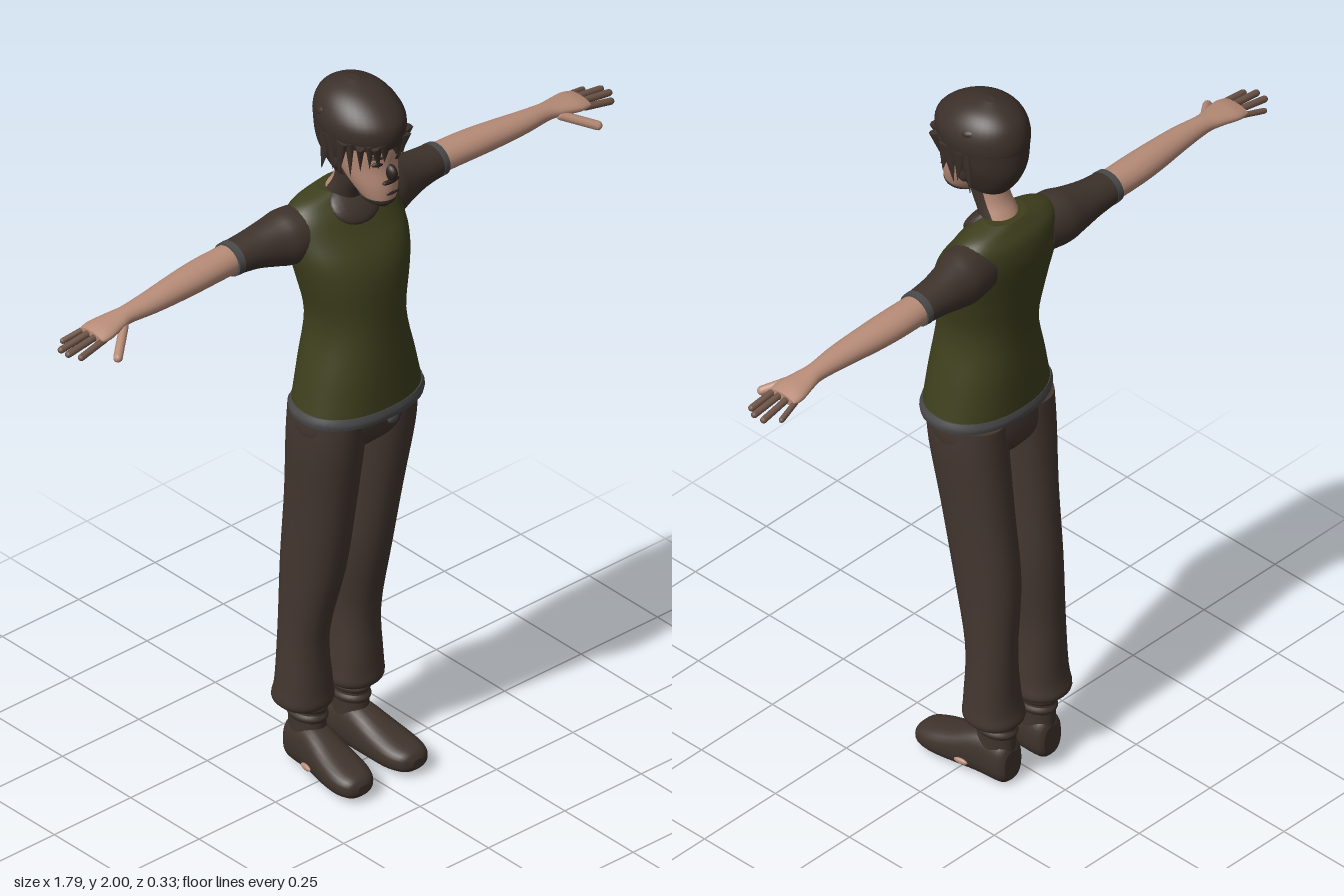
import * as THREE from 'three';

const mat = (name, color, side = THREE.FrontSide) => {
  const m = new THREE.MeshStandardMaterial({ color, side });
  m.name = name;
  return m;
};

// Smoothly refine a list of cross-section rows
function refine(rows, steps) {
  const out = [], last = rows.length - 1;
  for (let i = 0; i < last; i++) {
    const p0 = rows[Math.max(i - 1, 0)], p1 = rows[i], p2 = rows[i + 1], p3 = rows[Math.min(i + 2, last)];
    for (let k = 0; k < steps; k++) {
      const t = k / steps;
      out.push(p1.map((b, n) => {
        const a = p0[n], c = p2[n], d = p3[n];
        return b + 0.5 * t * (c - a + t * (2 * a - 5 * b + 4 * c - d + t * (3 * (b - c) + d - a)));
      }));
    }
  }
  out.push(rows[last]);
  return out;
}

// Skin rounded sections [t, c1, c2, r1, r2] strung along an axis; side = -1 mirrors in x
function loft(axis, rows, { side = 1, power = 2, from = 0, to = Math.PI * 2, seg = 28, steps = 4 } = {}) {
  const closed = to - from > 6.28, cols = closed ? seg : seg + 1;
  const rings = refine(rows, steps), pos = [], index = [];
  const put = {
    x: (t, p, q) => [t * side, p, q],
    y: (t, p, q) => [p, t, q],
    z: (t, p, q) => [p, q, t],
  }[axis];
  const flip = (axis !== 'y') !== (axis === 'x' && side < 0);
  const tri = (a, b, c) => (flip ? index.push(a, c, b) : index.push(a, b, c));
  const round = (v) => Math.sign(v) * Math.abs(v) ** (2 / power);
  const addRing = ([t, c1, c2, r1, r2]) => {
    const c = axis === 'x' ? c1 : c1 * side;
    for (let j = 0; j < cols; j++) {
      const a = from + ((to - from) * j) / seg;
      pos.push(...put(t, c + r1 * round(Math.sin(a)), c2 + r2 * round(Math.cos(a))));
    }
    return put(t, c, c2);
  };
  rings.forEach(addRing);
  for (let i = 0; i < rings.length - 1; i++) {
    for (let j = 0; j < seg; j++) {
      const k = (j + 1) % cols, a = i * cols, d = a + cols;
      tri(a + j, a + k, d + k);
      tri(a + j, d + k, d + j);
    }
  }
  if (closed) {
    [rings[0], rings[rings.length - 1]].forEach((r, end) => {
      const start = pos.length / 3;
      pos.push(...addRing(r));
      for (let j = 0; j < seg; j++) {
        const a = start + j, b = start + ((j + 1) % seg);
        end ? tri(start + seg, a, b) : tri(start + seg, b, a);
      }
    });
  }
  const g = new THREE.BufferGeometry();
  g.setAttribute('position', new THREE.Float32BufferAttribute(pos, 3));
  g.setIndex(index);
  g.computeVertexNormals();
  return g;
}

export function createModel() {
  const model = new THREE.Group();
  model.name = 'standingFigure';
  const skin = mat('skin', 0xb98d79, THREE.DoubleSide);
  const green = mat('shirtGreen', 0x3e3f1d);
  const brown = mat('trouserBrown', 0x43362f);
  const sleeveBrown = mat('sleeveBrown', 0x3f332c, THREE.DoubleSide);
  const trim = mat('trimGrey', 0x4b4a4b);
  const hairMat = mat('hairBrown', 0x3c302a, THREE.DoubleSide);
  const shoeMat = mat('shoeBrown', 0x40342d);
  const fingerMat = mat('fingerBrown', 0x6f5548);
  const dark = mat('faceDark', 0x2b211d);

  const add = (name, geo, material, parent = model) => {
    const m = new THREE.Mesh(geo, material);
    m.name = name;
    parent.add(m);
    return m;
  };
  const blob = (name, material, p, s, r = [0, 0, 0]) => {
    const m = add(name, new THREE.SphereGeometry(1, 20, 14), material);
    m.position.set(...p);
    m.scale.set(...s);
    m.rotation.set(...r);
    return m;
  };

  // Shirt body, hem and bib collar
  add('shirtBody', loft('y', [
    [1.09, 0, .017, .178, .125], [1.2, 0, .015, .152, .123], [1.33, 0, .012, .123, .117],
    [1.45, 0, .002, .147, .12], [1.52, 0, -.012, .163, .115], [1.58, 0, -.034, .167, .097],
    [1.63, 0, -.046, .158, .076], [1.658, 0, -.05, .125, .052], [1.675, 0, -.048, .06, .04],
  ], { power: 2.25, seg: 40 }), green);
  add('shirtHem', loft('y', [[1.078, 0, .017, .181, .128], [1.092, 0, .017, .183, .13], [1.108, 0, .017, .177, .126]],
    { power: 2.25, seg: 40 }), trim);
  blob('collar', sleeveBrown, [0, 1.643, .012], [.074, .058, .022], [-.78, 0, 0]);

  // Neck: covered in front, bare at the nape
  const neck = [[1.6, 0, -.05, .06, .055], [1.67, 0, -.025, .05, .05], [1.72, 0, .002, .047, .047], [1.8, 0, .025, .05, .055]];
  add('neckFront', loft('y', neck, { from: -.65 * Math.PI, to: .65 * Math.PI }), sleeveBrown);
  add('neckNape', loft('y', neck, { from: .65 * Math.PI, to: 1.35 * Math.PI, seg: 14 }), skin);

  // Head and face
  add('head', loft('y', [
    [1.69, 0, .112, .018, .022], [1.705, 0, .1, .038, .044], [1.75, 0, .074, .057, .073],
    [1.8, 0, .05, .069, .09], [1.85, 0, .042, .077, .1], [1.9, 0, .035, .08, .1], [1.94, 0, .03, .05, .07],
  ]), skin);
  add('jawShadow', loft('y', [[1.686, 0, .11, .016, .02], [1.7, 0, .1, .037, .043], [1.712, 0, .094, .045, .052]]), sleeveBrown);
  blob('nose', dark, [0, 1.79, .143], [.013, .022, .021], [-.35, 0, 0]);
  blob('moustache', dark, [0, 1.765, .143], [.027, .007, .008]);
  blob('mouth', dark, [0, 1.735, .151], [.022, .003, .004]);
  for (const s of [1, -1]) {
    blob('eye', dark, [s * .031, 1.818, .129], [.016, .007, .006], [0, s * .3, 0]);
    blob('eyebrow', hairMat, [s * .032, 1.838, .131], [.021, .005, .006], [0, s * .3, s * .12]);
    blob('ear', hairMat, [s * .073, 1.805, .025], [.012, .028, .019]);
  }

  // Hair: crown, back drape, fringe and side locks
  add('hairCrown', loft('y', [
    [1.862, 0, .03, .09, .122], [1.89, 0, .029, .1, .131], [1.925, 0, .027, .099, .128],
    [1.96, 0, .017, .083, .103], [1.985, 0, .01, .055, .064], [2, 0, .005, .012, .016],
  ], { seg: 36 }), hairMat);
  add('hairBack', loft('y', [
    [1.745, 0, .01, .05, .062], [1.78, 0, .012, .068, .09], [1.83, 0, .02, .088, .118], [1.89, 0, .029, .1, .131],
  ], { from: .42 * Math.PI, to: 1.58 * Math.PI }), hairMat);
  const locks = [[.22, .055], [.42, .075], [.62, .07], [.85, .085], [1.1, .1], [1.35, .115], [1.6, .1], [1.85, .12]];
  for (const s of [1, -1]) {
    locks.forEach(([a, h], i) => {
      const lock = add('hairLock', new THREE.ConeGeometry(.024, h, 8), hairMat);
      lock.position.set(s * .089 * Math.sin(a), 1.882 - h / 2, .028 + .118 * Math.cos(a));
      lock.rotation.set(Math.PI, -s * a, s * (i % 2 ? .15 : -.1), 'YXZ');
      lock.scale.z = .5;
    });
  }
  for (let i = 0; i < 9; i++) {
    const a = i * 2.4, r = .35 + .06 * i;
    blob('hairTuft', hairMat, [.088 * r * Math.sin(a), 1.975 - .075 * r * r, .018 + .105 * r * Math.cos(a)],
      [.03, .018, .036], [.5 * r * Math.cos(a), a * .3, -.6 * r * Math.sin(a)]);
  }

  // Trouser seat and drawstring knot
  add('trouserSeat', loft('y', [[.965, 0, -.008, .09, .07], [1, 0, -.003, .15, .1], [1.04, 0, .003, .166, .113], [1.1, 0, .008, .165, .114]],
    { power: 2.3 }), brown);
  blob('drawstringKnot', trim, [.03, 1.052, .117], [.018, .015, .009]);

  for (const side of [1, -1]) {
    const tag = side > 0 ? 'left' : 'right';
    // Sleeve with cuff
    add(tag + 'Sleeve', loft('x', [
      [.1, 1.578, -.05, .07, .068], [.165, 1.577, -.058, .074, .069], [.21, 1.577, -.064, .064, .06],
      [.27, 1.579, -.069, .05, .051], [.335, 1.58, -.071, .042, .047],
    ], { side }), sleeveBrown);
    add(tag + 'Cuff', loft('x', [[.326, 1.58, -.071, .044, .049], [.344, 1.58, -.071, .043, .048]], { side, steps: 1 }), trim);

    // Arm and palm
    add(tag + 'Arm', loft('x', [
      [.33, 1.58, -.072, .038, .042], [.42, 1.579, -.07, .036, .044], [.5, 1.577, -.066, .034, .041],
      [.6, 1.575, -.06, .028, .034], [.68, 1.573, -.06, .022, .027], [.72, 1.571, -.06, .019, .034],
      [.77, 1.565, -.06, .018, .045], [.8, 1.561, -.06, .013, .042],
    ], { side, seg: 20 }), skin);

    // Fingers and thumb: base point, tip point, radius
    const digits = [
      [[.785, 1.561, -.095], [.85, 1.545, -.107], .0075], [[.79, 1.562, -.073], [.882, 1.547, -.077], .009],
      [[.79, 1.562, -.049], [.884, 1.549, -.048], .009], [[.785, 1.56, -.026], [.866, 1.545, -.021], .009],
      [[.715, 1.562, -.035], [.785, 1.53, .022], .012],
    ];
    digits.forEach(([p, q, r], i) => {
      const a = new THREE.Vector3(p[0] * side, p[1], p[2]), b = new THREE.Vector3(q[0] * side, q[1], q[2]);
      const thumb = i === 4;
      const d = add(tag + (thumb ? 'Thumb' : 'Finger'), new THREE.CapsuleGeometry(r, a.distanceTo(b), 4, 10), thumb ? skin : fingerMat);
      d.position.lerpVectors(a, b, .5);
      d.quaternion.setFromUnitVectors(new THREE.Vector3(0, 1, 0), b.sub(a).normalize());
    });

    // Trouser leg
    add(tag + 'TrouserLeg', loft('y', [
      [.182, .082, -.088, .06, .062], [.2, .082, -.088, .075, .077], [.25, .083, -.084, .07, .07],
      [.4, .084, -.082, .058, .068], [.6, .074, -.058, .068, .092], [.8, .077, -.029, .072, .102],
      [.98, .083, -.005, .08, .11], [1.08, .083, .004, .08, .112],
    ], { side, power: 2.15 }), brown);

    // Ankle, cuffed boot top and shoe
    add(tag + 'Ankle', loft('y', [[.06, .07, -.083, .043, .056], [.13, .07, -.085, .04, .055], [.22, .07, -.085, .042, .055]], { side }), shoeMat);
    for (const y of [.15, .178]) {
      add(tag + 'SockFold', loft('y', [[y - .011, .07, -.085, .041, .055], [y, .07, -.085, .046, .06], [y + .011, .07, -.085, .041, .055]], { side }), shoeMat);
    }
    add(tag + 'Shoe', loft('z', [
      [-.14, .07, .058, .028, .04], [-.122, .07, .063, .042, .061], [-.05, .073, .064, .047, .064],
      [.03, .081, .05, .056, .048], [.09, .086, .042, .057, .037], [.13, .089, .039, .043, .028], [.145, .09, .037, .018, .012],
    ], { side, power: 2.5 }), shoeMat);
    blob(tag + 'ShoeTear', skin, [side * .131, .04, -.022], [.006, .008, .02], [0, side * .15, 0]);
  }
  return model;
}
